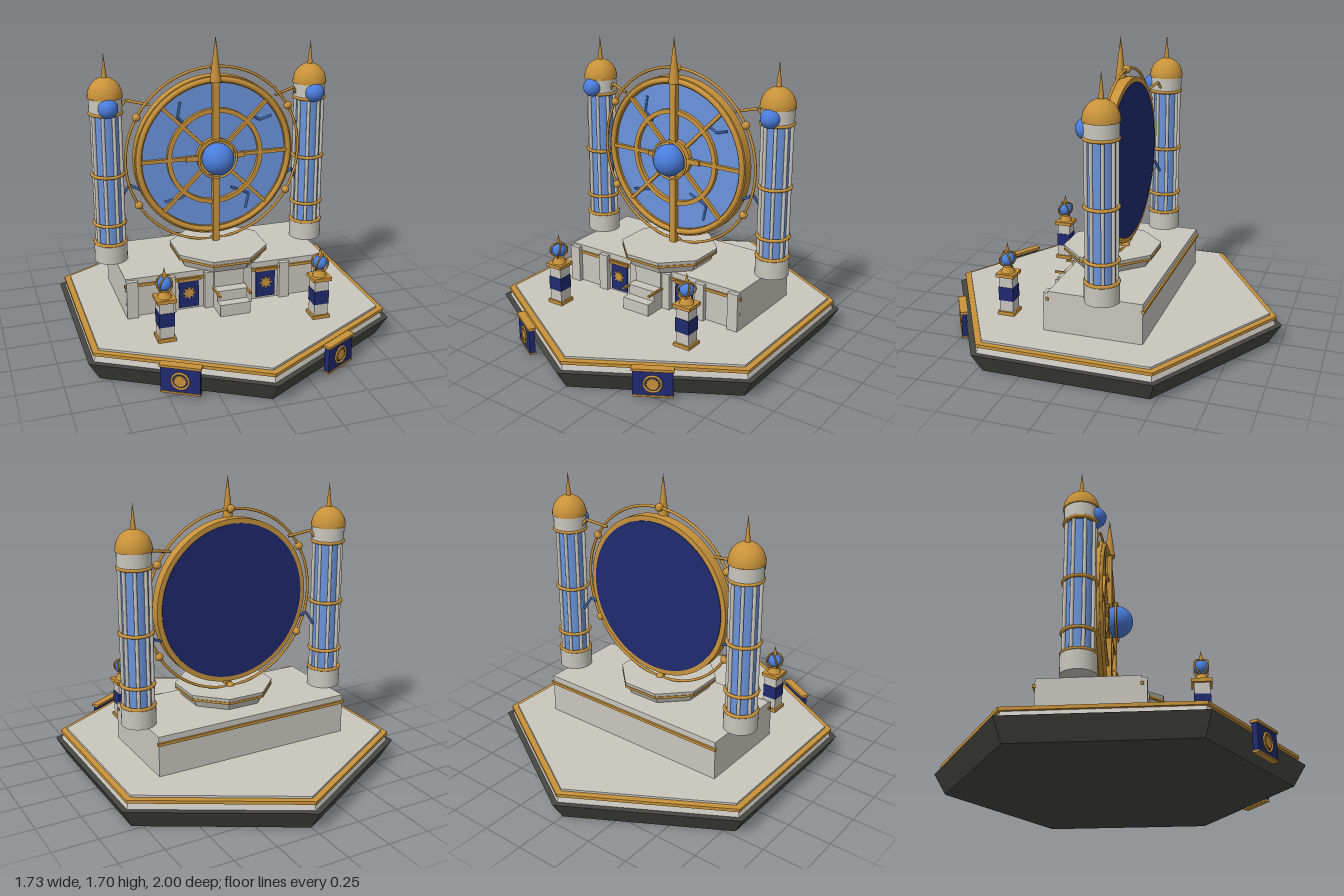
import * as THREE from 'three';

const mat = (name, color) => {
  const m = new THREE.MeshStandardMaterial({ color });
  m.name = name;
  return m;
};

export function createModel() {
  const root = new THREE.Group();
  root.name = 'portalShrine';
  const stone = mat('pale stone', 0xc9c6be), dark = mat('dark stone', 0x464741);
  const gold = mat('gold', 0xc8923a), navy = mat('navy', 0x1f2a70);
  const glass = mat('light blue glass', 0x6a94dc), orbBlue = mat('orb blue', 0x4a7ddc);
  const steel = mat('crack blue', 0x3a62a6);

  // helpers
  const add = (parent, name, geo, m, x = 0, y = 0, z = 0) => {
    const mesh = new THREE.Mesh(geo, m);
    mesh.name = name;
    mesh.position.set(x, y, z);
    parent.add(mesh);
    return mesh;
  };
  const group = (name, x = 0, y = 0, z = 0, parent = root) => {
    const g = new THREE.Group();
    g.name = name;
    g.position.set(x, y, z);
    parent.add(g);
    return g;
  };
  const box = (w, h, d) => new THREE.BoxGeometry(w, h, d);
  const ball = (r) => new THREE.SphereGeometry(r, 24, 16);
  const torus = (r, t, n = 64) => new THREE.TorusGeometry(r, t, 8, n);
  const cyl = (rt, rb, h, n = 32) => new THREE.CylinderGeometry(rt, rb, h, n);
  // faceted prism between two heights
  const prism = (rt, rb, y0, y1, n, turn = 0) => {
    const g = cyl(rt, rb, y1 - y0, n).toNonIndexed();
    g.computeVertexNormals();
    return g.rotateY(turn).translate(0, (y0 + y1) / 2, 0);
  };
  // flat ring facing z
  const band = (ro, ri, depth) => {
    const s = new THREE.Shape().absarc(0, 0, ro, 0, Math.PI * 2);
    s.holes.push(new THREE.Path().absarc(0, 0, ri, 0, Math.PI * 2, true));
    return new THREE.ExtrudeGeometry(s, { depth, bevelEnabled: false, curveSegments: 48 });
  };
  const star = (n, ro, ri) => {
    const pts = [];
    for (let i = 0; i < n * 2; i++) {
      const a = (i / n) * Math.PI, r = i % 2 ? ri : ro;
      pts.push(new THREE.Vector2(Math.sin(a) * r, Math.cos(a) * r));
    }
    return new THREE.ExtrudeGeometry(new THREE.Shape(pts), { depth: 0.006, bevelEnabled: false });
  };
  // straight rod between two points
  const rod = (parent, name, a, b, r, m) => {
    const p = new THREE.Vector3(...a), q = new THREE.Vector3(...b);
    const mesh = add(parent, name, cyl(r, r, p.distanceTo(q), 8), m);
    mesh.position.copy(p).lerp(q, 0.5);
    mesh.quaternion.setFromUnitVectors(new THREE.Vector3(0, 1, 0), q.sub(p).normalize());
  };
  const rods = (parent, name, pts, r, m) => {
    for (let i = 1; i < pts.length; i++) rod(parent, name, pts[i - 1], pts[i], r, m);
  };

  // hexagonal base
  const base = group('base');
  add(base, 'foundation', prism(1, 0.93, 0, 0.115, 6), dark);
  add(base, 'plinth', prism(0.95, 0.965, 0.115, 0.15, 6), stone);
  add(base, 'plinthTrim', prism(0.968, 0.968, 0.15, 0.168, 6), gold);
  add(base, 'floor', prism(0.93, 0.93, 0.168, 0.18, 6), stone);

  // podium, pilasters and stairs
  const podium = group('podium');
  add(podium, 'podiumBlock', box(1.18, 0.23, 0.53), stone, 0, 0.295, -0.095);
  for (const z of [0.172, -0.363]) add(podium, 'podiumTrim', box(1.195, 0.016, 0.016), gold, 0, 0.368, z);
  for (const s of [-1, 1]) {
    for (const [x, w] of [[0.557, 0.065], [0.34, 0.06], [0.115, 0.05]])
      add(podium, 'pilaster', box(w, 0.22, 0.035), stone, s * x, 0.29, 0.18);
    add(podium, 'wallBanner', box(0.115, 0.165, 0.009), navy, s * 0.23, 0.278, 0.18);
    add(podium, 'wallBannerRod', box(0.13, 0.014, 0.018), gold, s * 0.23, 0.365, 0.182);
    add(podium, 'wallBannerSun', star(8, 0.04, 0.022), gold, s * 0.23, 0.285, 0.184);
    add(podium, 'stairRail', box(0.012, 0.012, 0.13), gold, s * 0.09, 0.302, 0.262);
  }
  [[0.07, 0.328], [0.13, 0.272], [0.225, 0.21]].forEach(([h, z]) =>
    add(podium, 'stair', box(0.175, h, z - 0.15), stone, 0, 0.18 + h / 2, (z + 0.15) / 2));

  // octagonal dais
  const dais = group('dais');
  const t8 = Math.PI / 8;
  add(dais, 'daisBody', prism(0.268, 0.245, 0.41, 0.455, 8, t8), stone);
  add(dais, 'daisTrim', prism(0.284, 0.284, 0.455, 0.468, 8, t8), gold);
  add(dais, 'daisTop', prism(0.284, 0.28, 0.468, 0.488, 8, t8), stone);

  // round gate
  const gate = group('gate', 0, 1, -0.08);
  add(gate, 'gateRing', band(0.468, 0.425, 0.06), gold, 0, 0, -0.035);
  add(gate, 'gateRingBead', torus(0.445, 0.016), gold, 0, 0, 0.025);
  add(gate, 'gateGlass', cyl(0.43, 0.43, 0.02, 64).rotateX(Math.PI / 2), glass, 0, 0, 0.002);
  add(gate, 'gateBack', cyl(0.44, 0.44, 0.02, 64).rotateX(Math.PI / 2), navy, 0, 0, -0.029);
  add(gate, 'innerRing', band(0.283, 0.257, 0.025), gold, 0, 0, 0.01);
  add(gate, 'hub', cyl(0.11, 0.11, 0.03).rotateX(Math.PI / 2), gold, 0, 0, 0.025);
  for (let i = 0; i < 8; i++)
    add(gate, 'spoke', box(0.34, 0.02, 0.02).translate(0.27, 0, 0), gold, 0, 0, 0.024).rotation.z = (i * Math.PI) / 4;
  add(gate, 'crossBlock', box(0.35, 0.03, 0.02), gold, 0, 0, 0.034);
  add(gate, 'mast', box(0.038, 0.97, 0.03), gold, 0, -0.03, 0.035);
  add(gate, 'mastSpire', cyl(0, 0.032, 0.26, 16), gold, 0, 0.565, 0.035);
  add(gate, 'centreOrb', ball(0.092), orbBlue, 0, 0, 0.08);
  add(gate, 'centreOrbRing', torus(0.111, 0.007), gold, 0, 0, 0.08);
  add(gate, 'haloRing', torus(0.515, 0.008, 96), gold);
  for (let i = 0; i < 6; i++) {
    const a = ((i + 0.5) * Math.PI) / 3;
    add(gate, 'haloBead', ball(0.023), gold, Math.cos(a) * 0.515, Math.sin(a) * 0.515, 0);
  }
  // cracks in the glass
  const cracks = [
    [[-0.2, 0.33], [-0.215, 0.24], [-0.16, 0.19]],
    [[0.215, 0.225], [0.27, 0.19], [0.34, 0.21]],
    [[-0.3, -0.25], [-0.2, -0.235], [-0.16, -0.21]],
    [[0.1, -0.2], [0.21, -0.25], [0.19, -0.34]],
  ];
  for (const c of cracks) rods(gate, 'crack', c.map(([x, y]) => [x, y, 0.014]), 0.007, steel);

  for (const s of [-1, 1]) {
    // tower
    const tower = group('tower', s * 0.604, 0, -0.142);
    add(tower, 'towerBase', cyl(0.095, 0.095, 0.105), stone, 0, 0.462, 0);
    add(tower, 'towerGlass', cyl(0.072, 0.072, 0.76), glass, 0, 0.9, 0);
    for (let i = 0; i < 8; i++) {
      const a = ((i + 0.5) * Math.PI) / 4;
      add(tower, 'towerColumn', cyl(0.01, 0.01, 0.76, 10), stone, Math.cos(a) * 0.08, 0.9, Math.sin(a) * 0.08);
    }
    add(tower, 'towerCap', cyl(0.092, 0.092, 0.09), stone, 0, 1.33, 0);
    for (const y of [0.522, 0.64, 0.93, 1.285])
      add(tower, 'towerRing', torus(0.089, 0.01, 32).rotateX(Math.PI / 2), gold, 0, y, 0);
    const dome = new THREE.SphereGeometry(0.098, 32, 12, 0, Math.PI * 2, 0, Math.PI / 2).scale(1, 1.12, 1);
    add(tower, 'towerDome', dome, gold, 0, 1.373, 0);
    add(tower, 'domeBottom', cyl(0.098, 0.098, 0.006), gold, 0, 1.373, 0);
    add(tower, 'towerSpike', cyl(0, 0.016, 0.15, 12), gold, 0, 1.545, 0);
    add(tower, 'towerOrb', ball(0.055), orbBlue, 0, 1.325, 0.08);

    // arms joining tower and gate
    const arms = group('arms');
    rods(arms, 'upperArm', [[s * 0.535, 1.29, -0.14], [s * 0.495, 1.35, -0.12], [s * 0.37, 1.323, -0.085]], 0.008, gold);
    rods(arms, 'lowerArm', [[s * 0.53, 0.79, -0.13], [s * 0.49, 0.86, -0.11], [s * 0.43, 0.83, -0.085]], 0.008, steel);

    // lantern post
    const post = group('lanternPost', s * 0.442, 0, 0.465);
    add(post, 'postFoot', box(0.1, 0.02, 0.1), gold, 0, 0.19, 0);
    add(post, 'postShaft', box(0.08, 0.21, 0.08), stone, 0, 0.302, 0);
    add(post, 'postBand', box(0.086, 0.08, 0.086), navy, 0, 0.305, 0);
    add(post, 'postCap', box(0.106, 0.02, 0.106), gold, 0, 0.416, 0);
    add(post, 'lanternCup', cyl(0.025, 0.04, 0.035, 16), gold, 0, 0.443, 0);
    add(post, 'lanternOrb', ball(0.039), orbBlue, 0, 0.502, 0);
    for (const a of [-1, 1])
      add(post, 'lanternRing', torus(0.048, 0.005, 32), gold, 0, 0.502, 0).rotation.set(0.35 * a, 0.75 * a, 0);
    add(post, 'lanternSpike', cyl(0, 0.012, 0.055, 10), gold, 0, 0.57, 0);

    // banner on the base rim
    const banner = group('rimBanner', s * 0.438, 0, 0.759);
    banner.rotation.y = (s * Math.PI) / 6;
    add(banner, 'bannerCloth', box(0.21, 0.15, 0.03), navy, 0, 0.097, 0);
    add(banner, 'bannerTopBar', box(0.222, 0.014, 0.045), gold, 0, 0.175, 0);
    add(banner, 'bannerBottomBar', box(0.214, 0.01, 0.036), gold, 0, 0.024, 0);
    add(banner, 'bannerRing', torus(0.045, 0.006, 32), gold, 0, 0.095, 0.016);
    add(banner, 'bannerSun', star(12, 0.036, 0.028), gold, 0, 0.095, 0.014);
  }
  return root;
}
